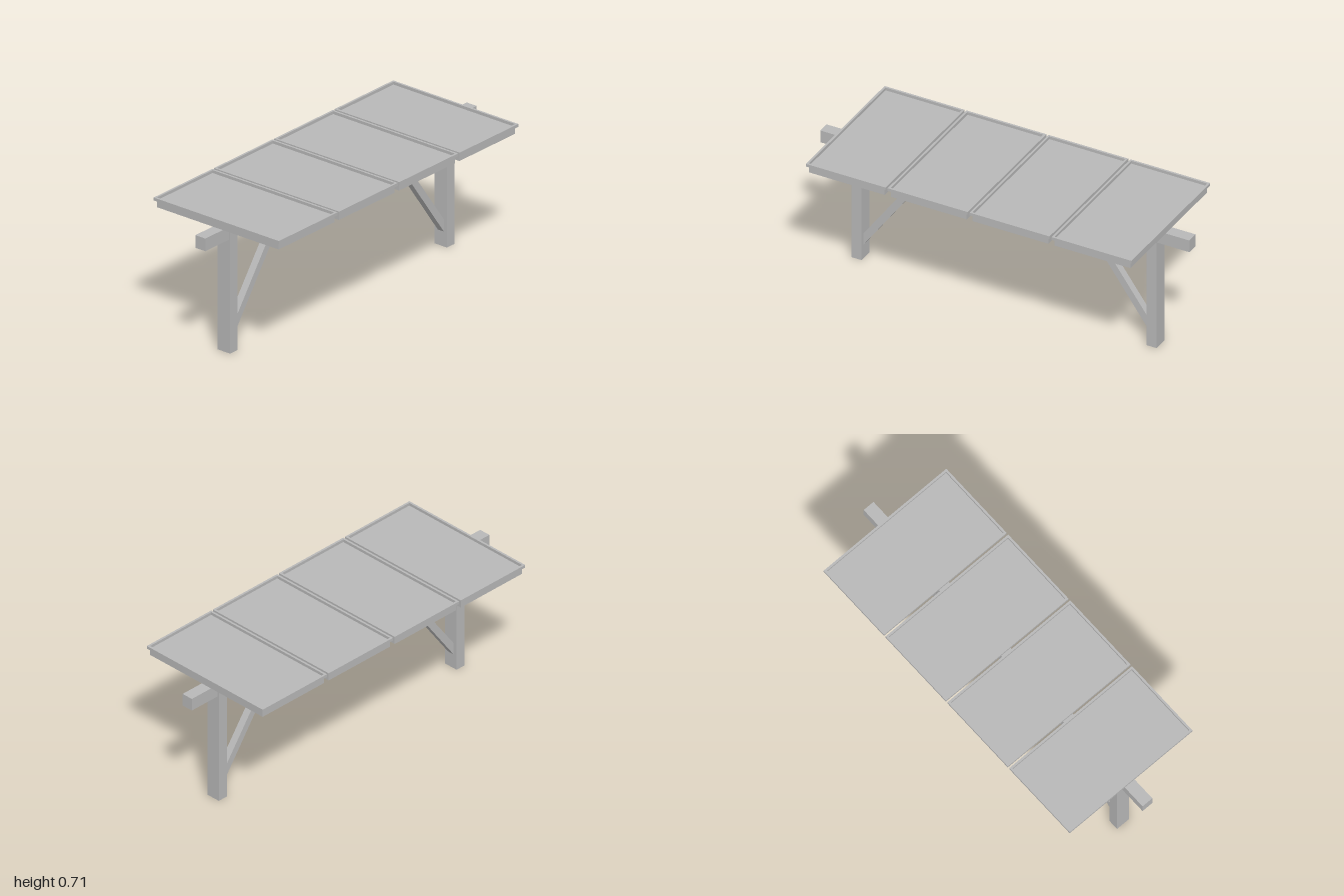
import * as THREE from 'three';

export function createModel() {
  const group = new THREE.Group();
  const grey = new THREE.MeshStandardMaterial({ color: 0xb8b8b8 });
  grey.name = 'plain grey';

  const add = (name, geometry, x, y, z) => {
    const mesh = new THREE.Mesh(geometry, grey);
    mesh.name = name;
    mesh.position.set(x, y, z);
    group.add(mesh);
  };
  const rectangle = (Type, w, h) => new Type([
    new THREE.Vector2(-w / 2, -h / 2), new THREE.Vector2(w / 2, -h / 2),
    new THREE.Vector2(w / 2, h / 2), new THREE.Vector2(-w / 2, h / 2),
  ]);

  // Long beam carrying the panels
  const beamBottom = 0.592, beamTop = 0.658;
  add('beam', new THREE.BoxGeometry(2, beamTop - beamBottom, 0.062),
    0, (beamBottom + beamTop) / 2, 0);

  // Posts and diagonal braces at both ends
  const braceDepth = 0.038;
  for (const side of [-1, 1]) {
    const name = side > 0 ? 'left' : 'right';
    add(name + 'Post', new THREE.BoxGeometry(0.054, beamTop, 0.077),
      side * 0.799, beamTop / 2, 0);
    const outline = new THREE.Shape([
      [0.404, 0.592], [0.772, 0.078], [0.772, 0.142], [0.448, 0.592],
    ].map(([x, y]) => new THREE.Vector2(side * x, y)));
    add(name + 'Brace',
      new THREE.ExtrudeGeometry(outline, { depth: braceDepth, bevelEnabled: false }),
      0, 0, -braceDepth / 2);
  }

  // Four panels, each a slab with a raised rim overhanging its sides
  const slabWidth = 0.411, slabLength = 0.756, slabTop = 0.694, rimTop = 0.709;
  const slab = new THREE.BoxGeometry(slabWidth, slabTop - beamTop, slabLength);
  const rimShape = rectangle(THREE.Shape, 0.433, 0.778);
  rimShape.holes.push(rectangle(THREE.Path, slabWidth, slabLength));
  const rim = new THREE.ExtrudeGeometry(rimShape,
    { depth: rimTop - slabTop, bevelEnabled: false }).rotateX(-Math.PI / 2);
  for (let i = 0; i < 4; i++) {
    const x = (i - 1.5) * 0.444;
    add('panelSlab' + (i + 1), slab, x, (slabTop + beamTop) / 2, 0);
    add('panelRim' + (i + 1), rim, x, slabTop, 0);
  }
  return group;
}
